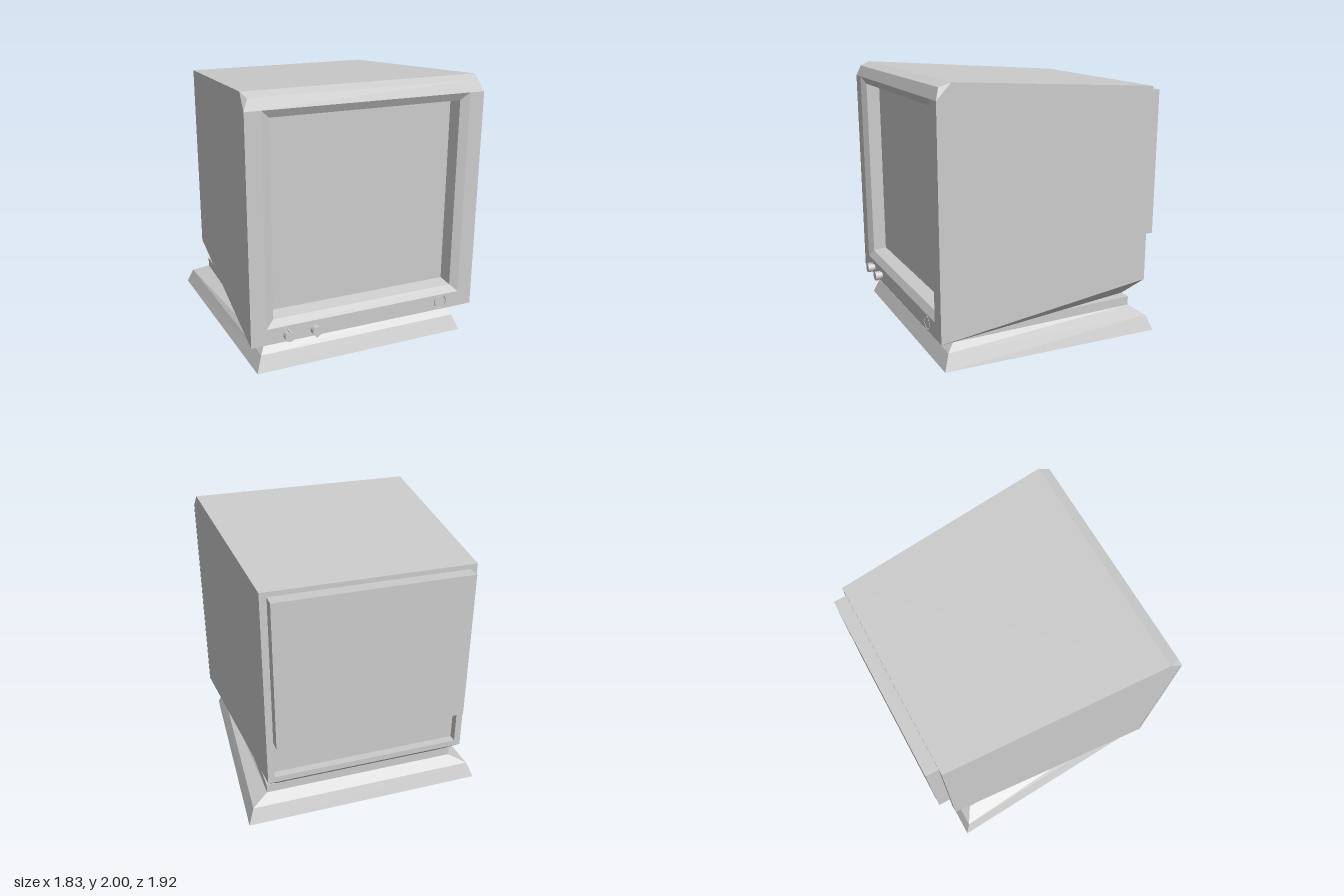
import * as THREE from 'three';

const material = new THREE.MeshStandardMaterial({ color: 0xcccccc, flatShading: true });

// Flat-faced mesh from convex polygons given as lists of [x, y, z] corners
function polyMesh(name, polygons) {
  const positions = [];
  for (const p of polygons) {
    for (let i = 1; i < p.length - 1; i++) positions.push(...p[0], ...p[i], ...p[i + 1]);
  }
  const geometry = new THREE.BufferGeometry();
  geometry.setAttribute('position', new THREE.Float32BufferAttribute(positions, 3));
  geometry.computeVertexNormals();
  return named(name, geometry);
}

function named(name, geometry) {
  const mesh = new THREE.Mesh(geometry, material);
  mesh.name = name;
  return mesh;
}

// Quads between successive four-cornered loops, closed by the last loop
function loft(loops) {
  const faces = [];
  for (let k = 0; k < loops.length - 1; k++) {
    const a = loops[k], b = loops[k + 1];
    for (let i = 0; i < 4; i++) {
      const j = (i + 1) % 4;
      faces.push([a[i], a[j], b[j], b[i]]);
    }
  }
  faces.push(loops[loops.length - 1]);
  return faces;
}

// Upright rectangle; a negative half width turns it to face the back
const rect = (w, y0, y1, z) => [[-w, y0, z], [w, y0, z], [w, y1, z], [-w, y1, z]];
// Level trapezoid with its own front and back half widths
const level = (y, wf, zf, wb, zb) => [[-wf, y, zf], [wf, y, zf], [wb, y, zb], [-wb, y, zb]];
const mirror = (polygon) => polygon.map(([x, y, z]) => [-x, y, z]).reverse();

function createCasing() {
  const frontLow = [0.885, 0.24, 0.9], frontHigh = [0.885, 1.89, 0.9];
  const brow = [0.85, 1.97, 0.87], top = [0.875, 2, 0.79];
  const backHigh = [0.76, 1.88, -0.865], backLow = [0.76, 0.365, -0.865];
  const under = [0.66, 0.24, -0.73];
  const left = [
    [frontLow, backLow, backHigh, top, frontHigh],
    [frontHigh, top, brow],
    [frontLow, under, backLow],
  ];
  // Strip spanning the full width between two left-hand corners
  const flip = ([x, y, z]) => [-x, y, z];
  const span = (a, b) => [flip(a), a, b, flip(b)];
  return polyMesh('casing', [
    ...left, ...left.map(mirror),
    span(frontHigh, brow), span(brow, top), span(top, backHigh),
    span(backLow, under), span(under, frontLow),
  ]);
}

function createFrontPanel() {
  // U-shaped face around the screen, with a round hole for the button
  const shape = new THREE.Shape([
    [-0.885, 0.24], [0.885, 0.24], [0.885, 1.89], [0.77, 1.89],
    [0.77, 0.36], [-0.77, 0.36], [-0.77, 1.89], [-0.885, 1.89],
  ].map(([x, y]) => new THREE.Vector2(x, y)));
  const hole = new THREE.Path();
  hole.absarc(0.615, 0.3, 0.052, 0, Math.PI * 2, true);
  shape.holes.push(hole);
  const geometry = new THREE.ExtrudeGeometry(shape, { depth: 0.02, bevelEnabled: false, curveSegments: 24 });
  geometry.translate(0, 0, 0.88);
  return named('frontPanel', geometry);
}

function createKnob(x, pointer) {
  const knob = new THREE.Group();
  knob.name = 'knob';
  const addDisc = (name, r, length, z) => {
    const geometry = new THREE.CylinderGeometry(r, r, length, 20);
    geometry.rotateX(Math.PI / 2);
    geometry.translate(0, 0, z);
    knob.add(named(name, geometry));
  };
  addDisc('knobStem', 0.026, 0.03, 0.91);
  addDisc('knobCap', 0.035, 0.045, 0.9375);
  const ridge = new THREE.BoxGeometry(0.01, 0.012, 0.045);
  ridge.translate(0, 0.038 * pointer, 0.9375);
  knob.add(named('knobPointer', ridge));
  knob.position.set(x, 0.3, 0);
  return knob;
}

export function createModel() {
  const model = new THREE.Group();
  model.name = 'monitor';

  // Stand: flared foot, wider at the back, with a straight neck
  const foot = [
    level(0, 0.83, 0.855, 0.915, -0.855),
    level(0.115, 0.785, 0.81, 0.87, -0.81),
    level(0.17, 0.745, 0.76, 0.745, -0.73),
    level(0.24, 0.745, 0.76, 0.745, -0.73),
  ];
  model.add(polyMesh('stand', [...loft(foot), [...foot[0]].reverse()]));

  model.add(createCasing(), createFrontPanel());

  // Bevelled screen surround and the sunken screen
  model.add(polyMesh('screen', loft([
    rect(0.77, 0.36, 1.89, 0.9),
    rect(0.71, 0.415, 1.835, 0.87),
    rect(0.695, 0.435, 1.82, 0.77),
  ])));

  // Back wall with a shallow socket recess
  model.add(polyMesh('backWall', loft([
    rect(-0.76, 0.365, 1.88, -0.865),
    rect(-0.71, 0.41, 0.67, -0.865),
    rect(-0.71, 0.41, 0.67, -0.805),
  ])));

  // Raised cover on the back
  const cover = new THREE.BoxGeometry(1.42, 1.125, 0.095);
  cover.translate(0, 1.2825, -0.9125);
  model.add(named('backCover', cover));

  // Controls below the screen
  model.add(createKnob(-0.62, 1), createKnob(-0.415, -1));
  const button = new THREE.CylinderGeometry(0.046, 0.046, 0.03, 24);
  button.rotateX(Math.PI / 2);
  button.translate(0.615, 0.3, 0.885);
  const well = new THREE.CircleGeometry(0.055, 24);
  well.translate(0.615, 0.3, 0.881);
  model.add(named('powerButton', button), named('buttonWell', well));

  return model;
}
